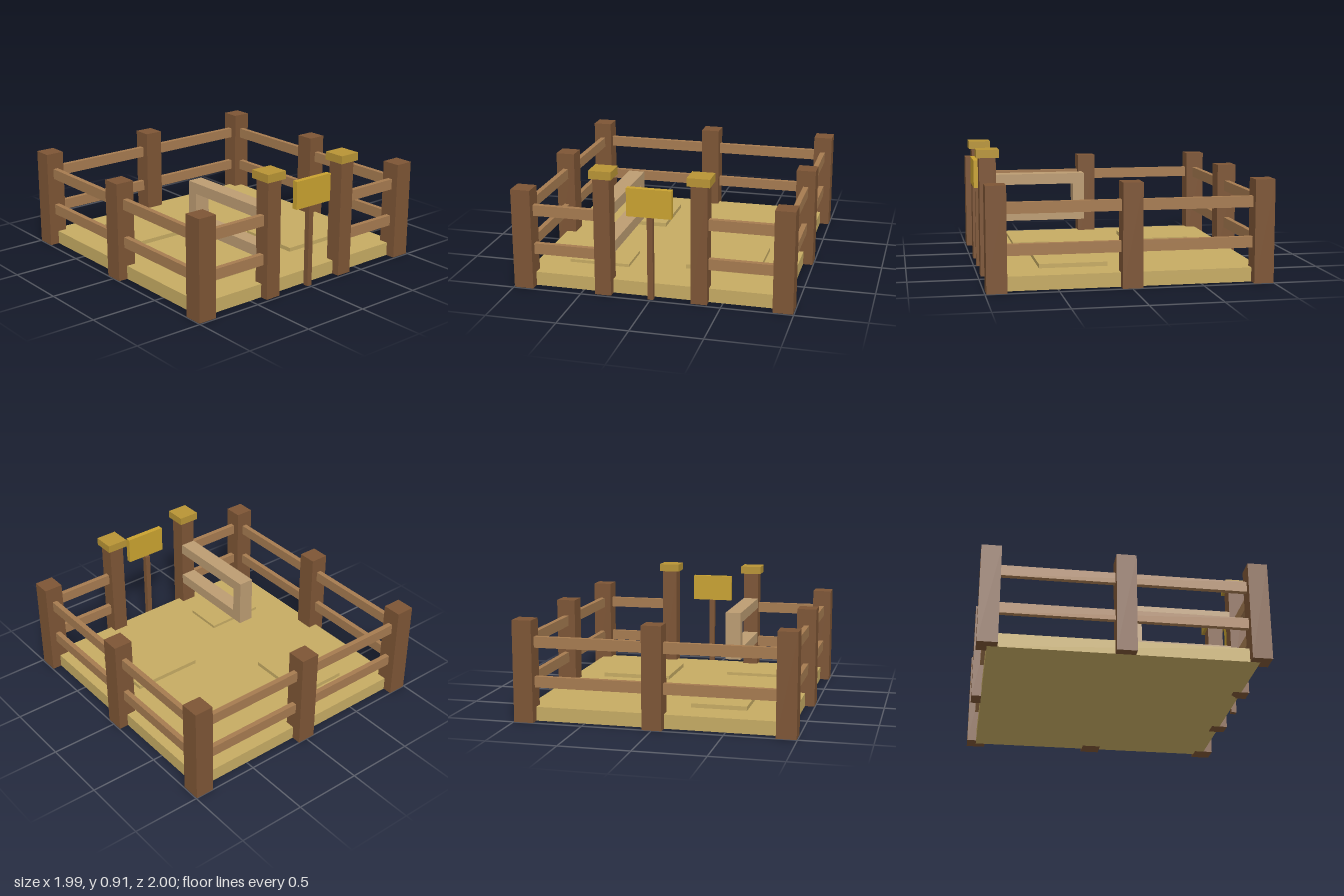
import * as THREE from 'three';

export function createModel() {
  const group = new THREE.Group();
  const mat = (name, color) => {
    const m = new THREE.MeshStandardMaterial({ color });
    m.name = name;
    return m;
  };
  const sand = mat('sand', 0xc6ab63);
  const darkWood = mat('dark wood', 0x7d5535);
  const railWood = mat('rail wood', 0xa67b50);
  const paleWood = mat('pale wood', 0xbc9c72);
  const capGold = mat('cap gold', 0xb89435);
  const signGold = mat('sign gold', 0xc9a230);

  // Box given by its min and max along each axis
  const box = (name, material, [x0, x1], [y0, y1], [z0, z1]) => {
    const mesh = new THREE.Mesh(new THREE.BoxGeometry(x1 - x0, y1 - y0, z1 - z0), material);
    mesh.name = name;
    mesh.position.set((x0 + x1) / 2, (y0 + y1) / 2, (z0 + z1) / 2);
    group.add(mesh);
  };
  const around = (c, half) => [c - half, c + half];

  const X = 0.925, BACK = -0.93, MID = -0.004, FRONT = 0.92;
  const GATE_X = 0.342;

  // Sandy floor and raised patches
  box('floor', sand, [-X, X], [0, 0.1], [BACK, FRONT]);
  box('backPatch', sand, [-0.605, -0.205], [0.1, 0.13], [-0.695, -0.208]);
  box('leftPatch', sand, [0.16, 0.682], [0.1, 0.13], [0.113, 0.598]);
  box('rightPatch', sand, [-0.686, -0.243], [0.1, 0.122], [0.395, 0.678]);

  // Fence posts
  for (const [x, z] of [[-X, BACK], [0, BACK], [X, BACK], [-X, MID], [X, MID], [-X, FRONT], [X, FRONT]]) {
    box('fencePost', darkWood, around(x, 0.07), [0, 0.725], around(z, 0.07));
  }

  // Two rows of rails, open at the front entrance
  for (const y of [0.283, 0.566]) {
    const h = around(y, 0.039);
    box('backRail', railWood, [-X, X], h, around(BACK, 0.019));
    for (const s of [-1, 1]) {
      box('sideRail', railWood, around(s * X, 0.019), h, [BACK, FRONT]);
      box('frontRail', railWood, s < 0 ? [-X, -GATE_X] : [GATE_X, X], h, around(FRONT, 0.019));
    }
  }

  // Entrance posts with caps
  for (const s of [-1, 1]) {
    box('entrancePost', darkWood, around(s * GATE_X, 0.058), [0, 0.85], around(FRONT, 0.059));
    box('entranceCap', capGold, around(s * GATE_X, 0.08), [0.848, 0.906], around(FRONT, 0.08));
  }

  // Gate swung open into the pen
  const gateX = around(-GATE_X, 0.058);
  box('gateTopBar', paleWood, gateX, [0.565, 0.645], [0.115, 0.865]);
  box('gateBottomBar', paleWood, gateX, [0.285, 0.365], [0.115, 0.865]);
  box('gateUpright', paleWood, gateX, [0.365, 0.565], [0.115, 0.2]);

  // Blank sign on a thin stake
  box('signStake', darkWood, [-0.02, 0.02], [0, 0.605], [0.94, 0.98]);
  box('signBoard', signGold, [-0.158, 0.158], [0.605, 0.805], [0.96, 1]);

  return group;
}
